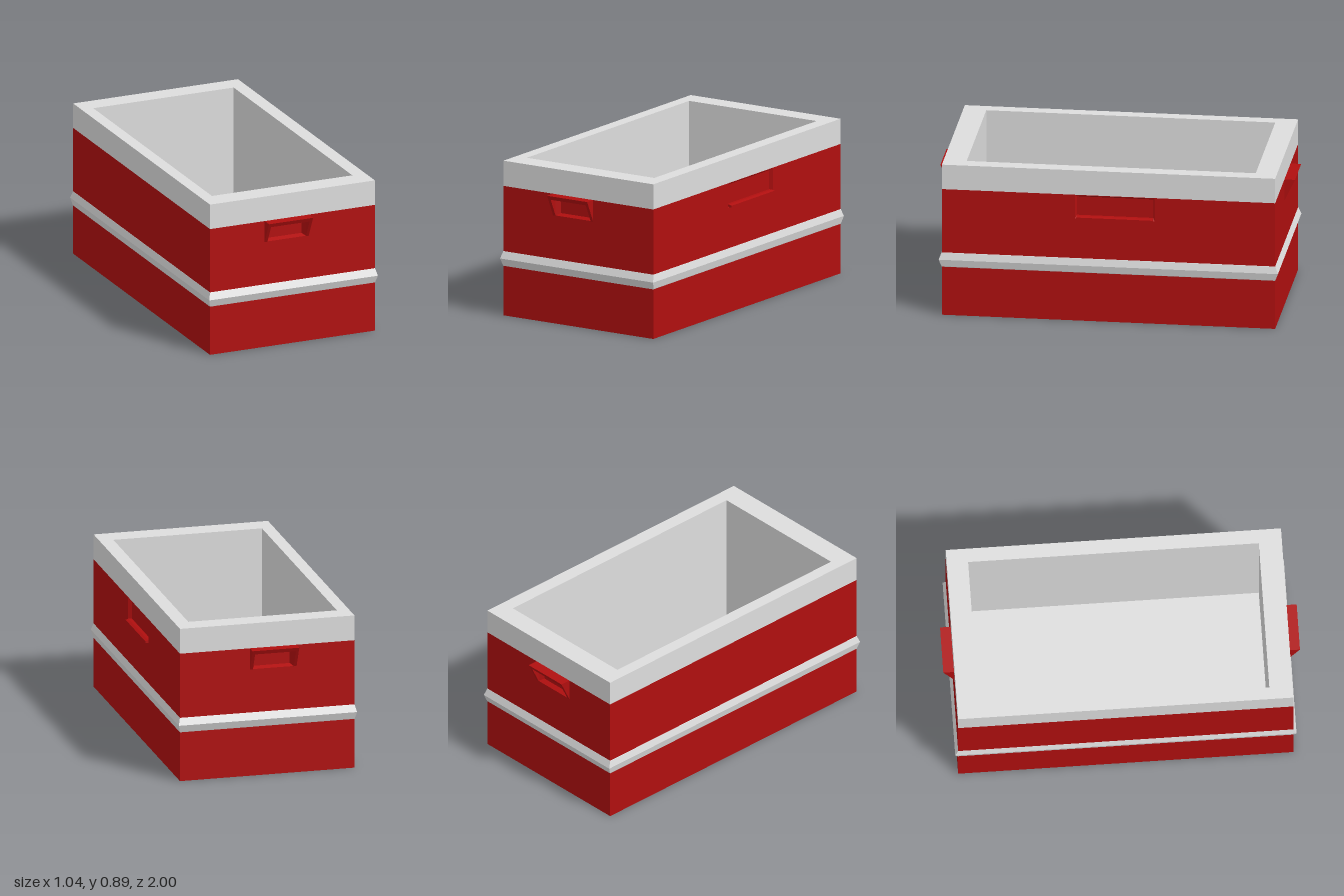
import * as THREE from 'three';

const red = new THREE.MeshStandardMaterial({ color: 0xb00f0f });
red.name = 'red shell';
const grey = new THREE.MeshStandardMaterial({ color: 0xdddddd });
grey.name = 'light grey';

// Outer body limits, and the height where the shell meets the rim
const X0 = -0.51, X1 = 0.5, Z = 0.94, SHELL = 0.745, TOP = 0.89;

function add(parent, name, geometry, material) {
  const mesh = new THREE.Mesh(geometry, material);
  mesh.name = name;
  parent.add(mesh);
  return mesh;
}

// Flat-sided skin through four-cornered rings, optionally closed at the last ring
function loft(rings, cap = false) {
  const pos = [];
  const quad = (a, b, c, d) => pos.push(...a, ...b, ...c, ...a, ...c, ...d);
  for (let i = 0; i < rings.length - 1; i++) {
    for (let j = 0; j < 4; j++) {
      const k = (j + 1) % 4;
      quad(rings[i][j], rings[i][k], rings[i + 1][k], rings[i + 1][j]);
    }
  }
  if (cap) quad(...rings[rings.length - 1]);
  const g = new THREE.BufferGeometry();
  g.setAttribute('position', new THREE.Float32BufferAttribute(pos, 3));
  g.computeVertexNormals();
  return g;
}

const corners = (x0, x1, y0, y1) => [[x0, y0], [x1, y0], [x1, y1], [x0, y1]];
const polygon = (pts) => pts.map(([x, y]) => new THREE.Vector2(x, y));

// One shell wall facing +z, with an optional tapered recess
function wall(name, x0, x1, recess) {
  const group = new THREE.Group();
  group.name = name;
  const shape = new THREE.Shape(polygon(corners(x0, x1, 0, SHELL)));
  if (recess) {
    const { outer, inner, depth } = recess;
    shape.holes.push(new THREE.Path(polygon(corners(...outer))));
    const at = (r, z) => corners(...r).map(([x, y]) => [x, y, z]);
    add(group, 'gripRecess', loft([at(outer, 0), at(inner, -depth)], true), red);
  }
  add(group, 'wallPanel', new THREE.ShapeGeometry(shape), red);
  return group;
}

// Profile in (outward, up), extruded sideways and centred on x
function sideways(points, width, x) {
  const g = new THREE.ExtrudeGeometry(new THREE.Shape(polygon(points)), { depth: width, bevelEnabled: false });
  g.rotateY(-Math.PI / 2);
  g.translate(x + width / 2, 0, 0);
  return g;
}

// Short end wall with a hooded carrying handle
function endWall(name, x0, x1, cx) {
  const group = wall(name, x0, x1, {
    outer: [cx - 0.118, cx + 0.118, 0.622, 0.722],
    inner: [cx - 0.103, cx + 0.103, 0.632, 0.715],
    depth: 0.03,
  });
  const low = 0.62, reach = 0.06, barY = 0.722;
  const barZ = reach * (barY - low) / (SHELL - low);
  for (const s of [-1, 1]) {
    add(group, 'handleCheek', sideways([[0, low], [reach, SHELL], [0, SHELL]], 0.017, cx + s * 0.1265), red);
  }
  add(group, 'handleBar', sideways([[0, barY], [barZ, barY], [reach, SHELL], [0, SHELL]], 0.236, cx), red);
  return group;
}

// Horizontal ring between an outer rectangle and the opening
function ring(outer, opening, y0, y1) {
  const shape = new THREE.Shape(polygon(corners(...outer)));
  shape.holes.push(new THREE.Path(polygon(corners(...opening))));
  const g = new THREE.ExtrudeGeometry(shape, { depth: y1 - y0, bevelEnabled: false });
  g.rotateX(-Math.PI / 2);
  g.translate(0, y0, 0);
  return g;
}

export function createModel() {
  const model = new THREE.Group();
  model.name = 'openCooler';

  // Red shell: two ends, two long sides and the base
  const front = endWall('frontWall', X0, X1, -0.04);
  front.position.z = Z;
  const back = endWall('backWall', -X1, -X0, 0.04);
  back.position.z = -Z;
  back.rotation.y = Math.PI;

  const left = wall('leftWall', -Z, Z, {
    outer: [-0.19, 0.26, 0.605, 0.742],
    inner: [-0.18, 0.25, 0.62, 0.73],
    depth: 0.02,
  });
  left.position.x = X1;
  left.rotation.y = Math.PI / 2;
  add(left, 'recessLip', sideways(
    [[-0.018, 0.605], [0.017, 0.605], [0.017, 0.616], [0, 0.621], [-0.018, 0.621]], 0.43, 0.035), red);

  const right = wall('rightWall', -Z, Z);
  right.position.x = X0;
  right.rotation.y = -Math.PI / 2;
  model.add(front, back, left, right);

  const base = add(model, 'base', new THREE.PlaneGeometry(X1 - X0, 2 * Z), red);
  base.rotation.x = Math.PI / 2;
  base.position.x = (X0 + X1) / 2;

  // Rim and inner lining
  const opening = [-0.44, 0.42, -0.81, 0.82];
  const floorY = 0.08;
  add(model, 'rim', ring([X0, X1, -Z, Z], opening, SHELL, TOP), grey);
  add(model, 'lining', ring([-0.45, 0.43, -0.82, 0.83], opening, floorY, SHELL), grey);
  const floor = add(model, 'insideFloor', new THREE.BoxGeometry(0.88, 0.02, 1.65), grey);
  floor.position.set(-0.01, floorY - 0.01, -0.005);

  // Ridged trim band around the shell
  const band = (y, dx, dz) => [[X0 - dx, y, Z + dz], [X1 + dx, y, Z + dz], [X1 + dx, y, -Z - dz], [X0 - dx, y, -Z - dz]];
  add(model, 'trimBand', loft([
    band(0.285, 0, 0), band(0.287, 0.001, 0.001), band(0.329, 0.011, 0.017), band(0.368, 0.001, 0.001), band(0.37, 0, 0),
  ]), grey);

  return model;
}
